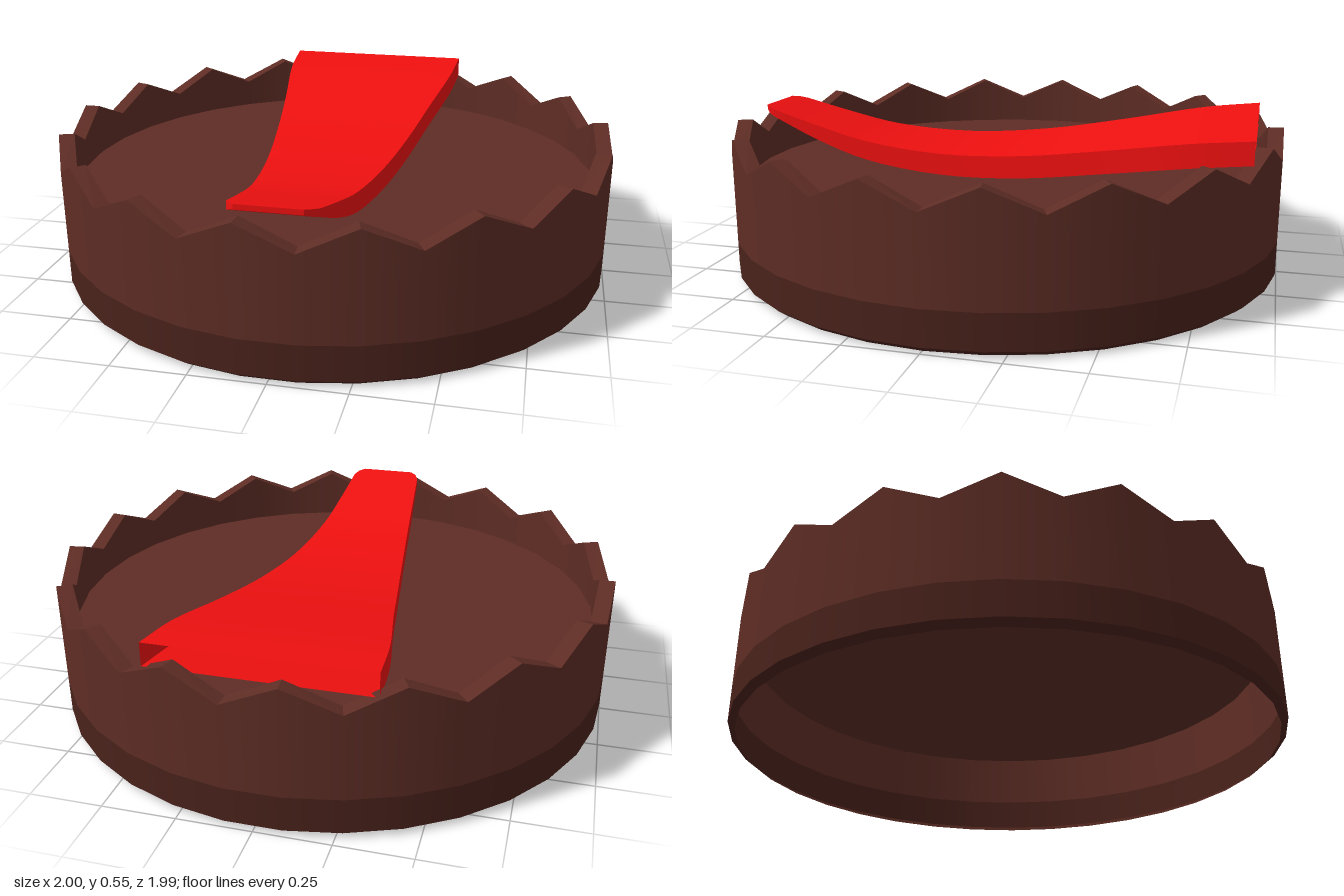
import * as THREE from 'three';
import { toCreasedNormals } from 'three/addons/utils/BufferGeometryUtils.js';

const SIDES = 34;
const VALLEY = 0.43, PEAK = 0.51;
const OUTER = 1, INNER = 0.945, FLOOR = 0.325;
const TOP = 10; // marker height, replaced by the zigzag

const mat = (color, flatShading = false) =>
  new THREE.MeshStandardMaterial({ color, flatShading, side: THREE.DoubleSide });

// Lathed band whose marked vertices follow the zigzag edge
function band(name, profile, material) {
  const pts = profile.map(([r, y]) => new THREE.Vector2(r, y));
  const geo = new THREE.LatheGeometry(pts, SIDES, Math.PI / 2);
  const p = geo.attributes.position;
  for (let i = 0; i < p.count; i++) {
    if (p.getY(i) !== TOP) continue;
    const step = Math.floor(i / pts.length);
    p.setY(i, step % 2 ? PEAK : VALLEY);
  }
  const mesh = new THREE.Mesh(geo, material);
  mesh.name = name;
  return mesh;
}

// Hollow curved strip, open at the back and closed at the tip
function tongueGeometry() {
  // z, half width, top height, bottom height
  const keys = [
    [-0.905, 0.365, 0.55, 0.47],
    [-0.7, 0.35, 0.527, 0.445],
    [-0.4, 0.3, 0.475, 0.395],
    [-0.1, 0.255, 0.43, 0.35],
    [0.2, 0.213, 0.412, 0.335],
    [0.5, 0.177, 0.435, 0.365],
    [0.7, 0.158, 0.48, 0.425],
    [0.88, 0.142, 0.528, 0.5],
  ];
  const spline = (k) => new THREE.CatmullRomCurve3(
    keys.map((r) => new THREE.Vector3(r[1], r[k], r[0])));
  const upper = spline(2), lower = spline(3);
  const rows = [];
  const N = 28;
  for (let i = 0; i <= N; i++) {
    const a = upper.getPoint(i / N), b = lower.getPoint(i / N);
    rows.push([a.z, a.x, a.y, b.y]);
  }
  // Rounded corners of the tip
  rows.push([0.91, 0.128, 0.536, 0.512], [0.93, 0.105, 0.54, 0.522]);

  const pos = [], idx = [];
  for (const [z, w, t, b] of rows) pos.push(-w, t, z, w, t, z, w, b, z, -w, b, z);
  for (let i = 0; i < rows.length - 1; i++) {
    for (let j = 0; j < 4; j++) {
      const a = i * 4 + j, b = i * 4 + (j + 1) % 4;
      idx.push(a, a + 4, b, b, a + 4, b + 4);
    }
  }
  const e = (rows.length - 1) * 4;
  idx.push(e, e + 3, e + 2, e, e + 2, e + 1);
  const geo = new THREE.BufferGeometry();
  geo.setAttribute('position', new THREE.Float32BufferAttribute(pos, 3));
  geo.setIndex(idx);
  return toCreasedNormals(geo, 0.5);
}

export function createModel() {
  const group = new THREE.Group();
  const brown = mat(0x5e2d25);
  const darkBrown = mat(0x4a221b);

  // Shell: chamfered foot, lower band, jagged wall and rim
  group.add(
    band('footChamfer', [[0.975, 0], [OUTER, 0.02]], darkBrown),
    band('lowerBand', [[OUTER, 0.02], [OUTER, 0.14]], darkBrown),
    band('outerWall', [[OUTER, 0.14], [OUTER, TOP]], brown),
    band('jaggedRim', [[OUTER, TOP], [INNER, TOP]], mat(0x5e2d25, true)),
    band('innerWall', [[INNER, TOP], [INNER, FLOOR]], brown),
  );

  // Floor disc, its corners matching the wall
  const floor = new THREE.Mesh(new THREE.CircleGeometry(INNER, SIDES), brown);
  floor.rotation.x = -Math.PI / 2;
  floor.position.y = FLOOR;
  floor.name = 'floor';
  group.add(floor);

  // Red curved strip
  const tongue = new THREE.Mesh(tongueGeometry(), mat(0xf01010));
  tongue.name = 'curvedStrip';
  group.add(tongue);
  return group;
}
